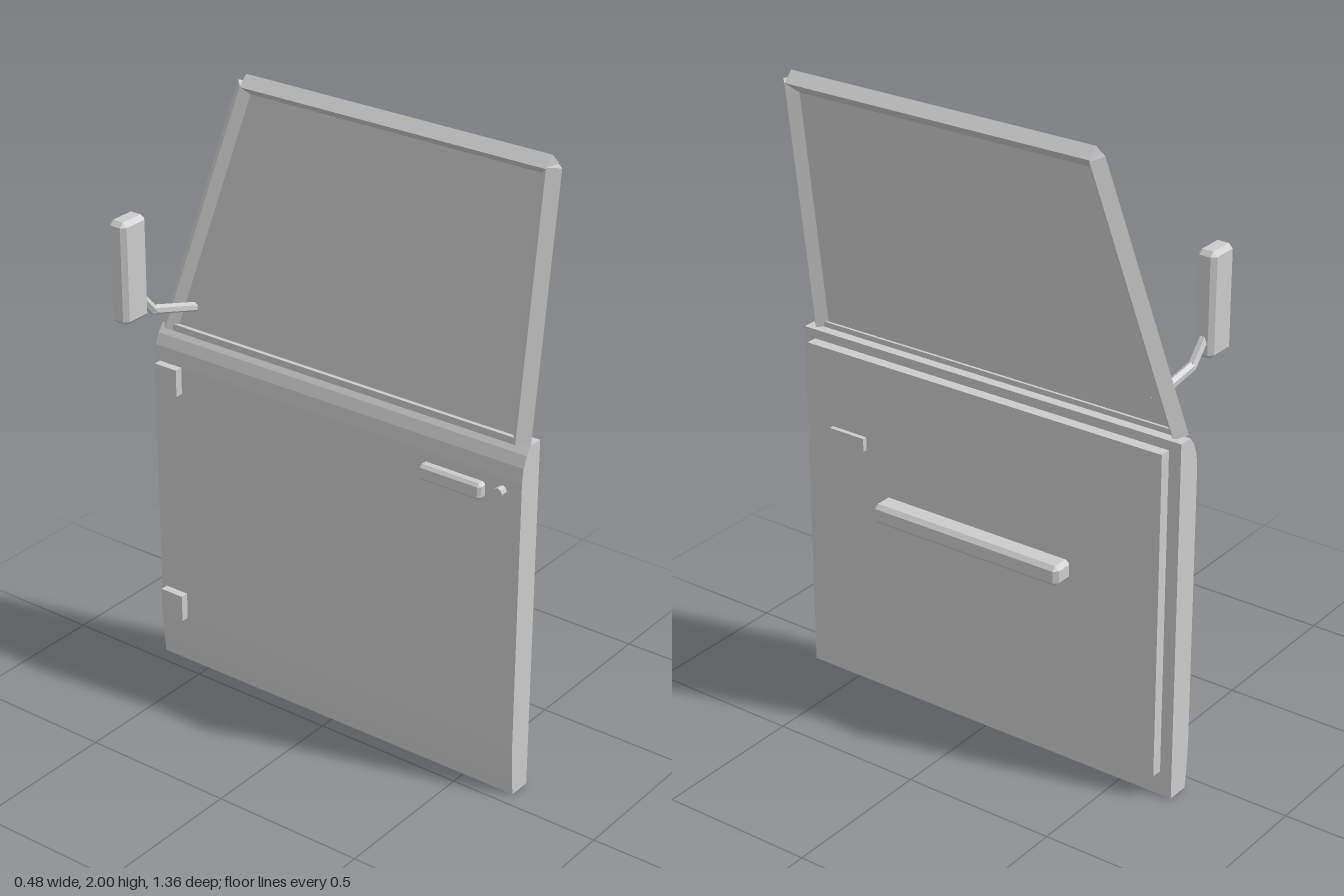
import * as THREE from 'three';
import { ConvexGeometry } from 'three/addons/geometries/ConvexGeometry.js';

const V = (x, y, z) => new THREE.Vector3(x, y, z);

export function createModel() {
  const group = new THREE.Group();
  const paint = new THREE.MeshStandardMaterial({ color: 0xcccccc, flatShading: true });
  paint.name = 'light grey';

  const add = (name, geometry) => {
    const mesh = new THREE.Mesh(geometry, paint);
    mesh.name = name;
    group.add(mesh);
    return mesh;
  };

  // Box given by its extents on each axis
  const box = (name, [x0, x1], [y0, y1], [z0, z1]) =>
    add(name, new THREE.BoxGeometry(x1 - x0, y1 - y0, z1 - z0)
      .translate((x0 + x1) / 2, (y0 + y1) / 2, (z0 + z1) / 2));

  // Box with every edge chamfered by c
  const chamferBox = (name, [x0, x1], [y0, y1], [z0, z1], c) => {
    const points = [];
    for (const i of [0, 1]) for (const j of [0, 1]) for (const k of [0, 1]) {
      const corner = V(i ? x1 : x0, j ? y1 : y0, k ? z1 : z0);
      const inward = V(i ? -c : c, j ? -c : c, k ? -c : c);
      for (const axis of ['x', 'y', 'z']) {
        const p = corner.clone().add(inward);
        p[axis] = corner[axis];
        points.push(p);
      }
    }
    return add(name, new ConvexGeometry(points));
  };

  // Faceted bar between two points, with a ridge facing x
  const bar = (name, a, b, radius, sides) => {
    const dir = b.clone().sub(a);
    const length = dir.length();
    dir.normalize();
    const side = Math.abs(dir.x) > 0.7 ? V(0, 0, 1) : V(1, 0, 0);
    side.addScaledVector(dir, -side.dot(dir)).normalize();
    const basis = new THREE.Matrix4().makeBasis(side, dir, side.clone().cross(dir));
    basis.setPosition(a.clone().add(b).multiplyScalar(0.5));
    return add(name, new THREE.CylinderGeometry(radius, radius, length, sides).applyMatrix4(basis));
  };

  // Door body: side profile swept along z
  const profile = [[0.05, 0], [0.124, 0], [0.124, 1.165], [0.077, 1.165], [0.058, 1.14],
    [0.044, 1.105], [0.038, 1.06], [0.038, 0.16], [0.043, 0.06]];
  const bodyShape = new THREE.Shape(profile.map(([x, y]) => new THREE.Vector2(x, y)));
  add('doorBody', new THREE.ExtrudeGeometry(bodyShape, { depth: 1.36, bevelEnabled: false })
    .translate(0, 0, -0.68));

  // Inner trim, armrest and latch
  box('trimPanel', [0.12, 0.16], [0.08, 1.135], [-0.64, 0.64]);
  chamferBox('armrest', [0.16, 0.237], [0.645, 0.71], [-0.34, 0.34], 0.013);
  box('innerLatch', [0.158, 0.175], [0.837, 0.88], [0.42, 0.55]);

  // Window frame of diamond-section bars
  const rearFoot = V(0.077, 1.165, 0.648), rearTop = V(0.18, 1.968, 0.648);
  const frontTop = V(0.18, 1.968, -0.418), frontFoot = V(0.077, 1.165, -0.643);
  bar('rearPillar', rearFoot, rearTop, 0.032, 4);
  bar('topRail', rearTop, frontTop, 0.032, 4);
  bar('frontPillar', frontTop, frontFoot, 0.032, 4);
  box('windowSeal', [0.062, 0.092], [1.16, 1.182], [-0.63, 0.64]);

  // Leaning window pane
  const corners = [frontFoot, rearFoot, rearTop, frontTop];
  const paneShape = new THREE.Shape(corners.map((p) => new THREE.Vector2(-p.z, p.y)));
  const pane = new THREE.ExtrudeGeometry(paneShape, { depth: 0.008, bevelEnabled: false })
    .rotateY(Math.PI / 2);
  const pos = pane.attributes.position;
  for (let i = 0; i < pos.count; i++) {
    const t = (pos.getY(i) - rearFoot.y) / (rearTop.y - rearFoot.y);
    pos.setX(i, pos.getX(i) - 0.004 + THREE.MathUtils.lerp(rearFoot.x, rearTop.x, t));
  }
  pane.computeVertexNormals();
  add('windowPane', pane);

  // Hinges, outer handle and lock
  for (const [name, y] of [['lowerHinge', 0.165], ['upperHinge', 0.967]]) {
    box(name, [0.012, 0.045], [y, y + 0.09], [-0.66, -0.575]);
  }
  chamferBox('outerHandle', [-0.007, 0.03], [0.985, 1.037], [0.35, 0.567], 0.009);
  for (const z of [0.385, 0.53]) {
    box('handleMount', [0.02, 0.045], [0.998, 1.024], [z - 0.015, z + 0.015]);
  }
  add('lock', new THREE.CylinderGeometry(0.015, 0.015, 0.035, 8)
    .rotateZ(Math.PI / 2).translate(0.03, 1.02, 0.615));

  // Side mirror on a bent arm
  const bend = V(-0.085, 1.298, -0.575);
  bar('mirrorArm', V(0.09, 1.25, -0.555), bend, 0.015, 6);
  bar('mirrorArmTip', V(-0.08, 1.292, -0.575), V(-0.15, 1.372, -0.576), 0.015, 6);
  chamferBox('mirrorHousing', [-0.24, -0.133], [1.302, 1.63], [-0.608, -0.543], 0.014);

  return group;
}
